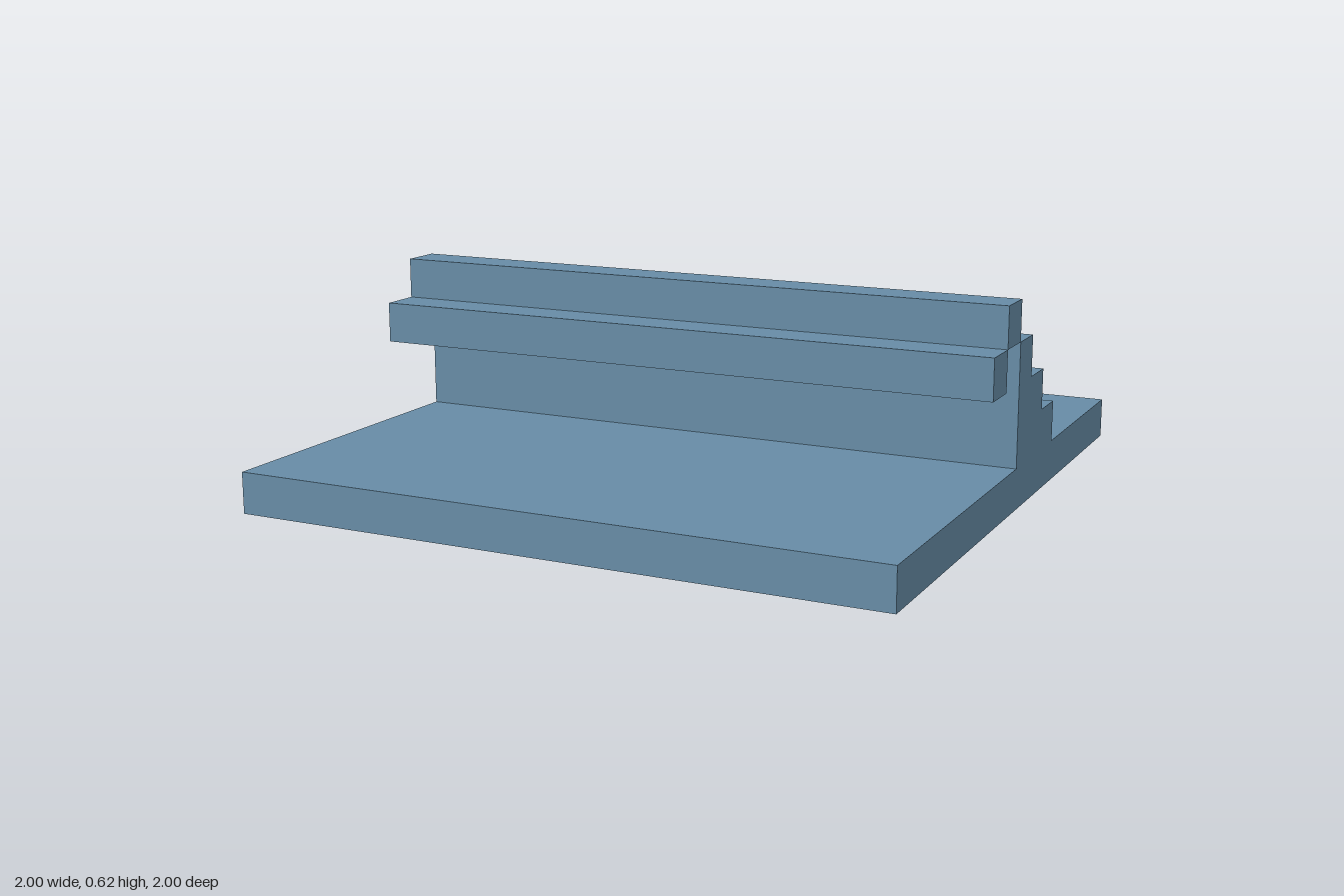
import * as THREE from 'three';

const U = 0.125; // one step of the block grid
const WIDTH = 2;

export function createModel() {
  const model = new THREE.Group();
  const blue = new THREE.MeshStandardMaterial({ color: 0x678ca6 });
  blue.name = 'slateBlue';

  // Side profile given in grid steps (z, y), extruded across the width
  function addProfile(name, points) {
    const shape = new THREE.Shape(points.map(([z, y]) => new THREE.Vector2(z * U, y * U)));
    const geometry = new THREE.ExtrudeGeometry(shape, { depth: WIDTH, bevelEnabled: false });
    geometry.translate(0, 0, -WIDTH / 2).rotateY(-Math.PI / 2);
    const mesh = new THREE.Mesh(geometry, blue);
    mesh.name = name;
    model.add(mesh);
  }

  // Square bar whose lower back edge lies at (z, y) in grid steps
  function addBar(name, z, y) {
    const mesh = new THREE.Mesh(new THREE.BoxGeometry(WIDTH, U, U), blue);
    mesh.position.set(0, (y + 0.5) * U, (z + 0.5) * U);
    mesh.name = name;
    model.add(mesh);
  }

  // Ground slab with the wall, stepped down towards the back
  addProfile('baseWithSteppedWall', [
    [-8, 0], [8, 0], [8, 1], [0, 1], [0, 4], [-1, 4],
    [-1, 3], [-2, 3], [-2, 2], [-3, 2], [-3, 1], [-8, 1],
  ]);

  // Overhanging crest, curling forward
  addBar('crestTop', 0, 4);
  addBar('crestLip', 1, 3);

  return model;
}
